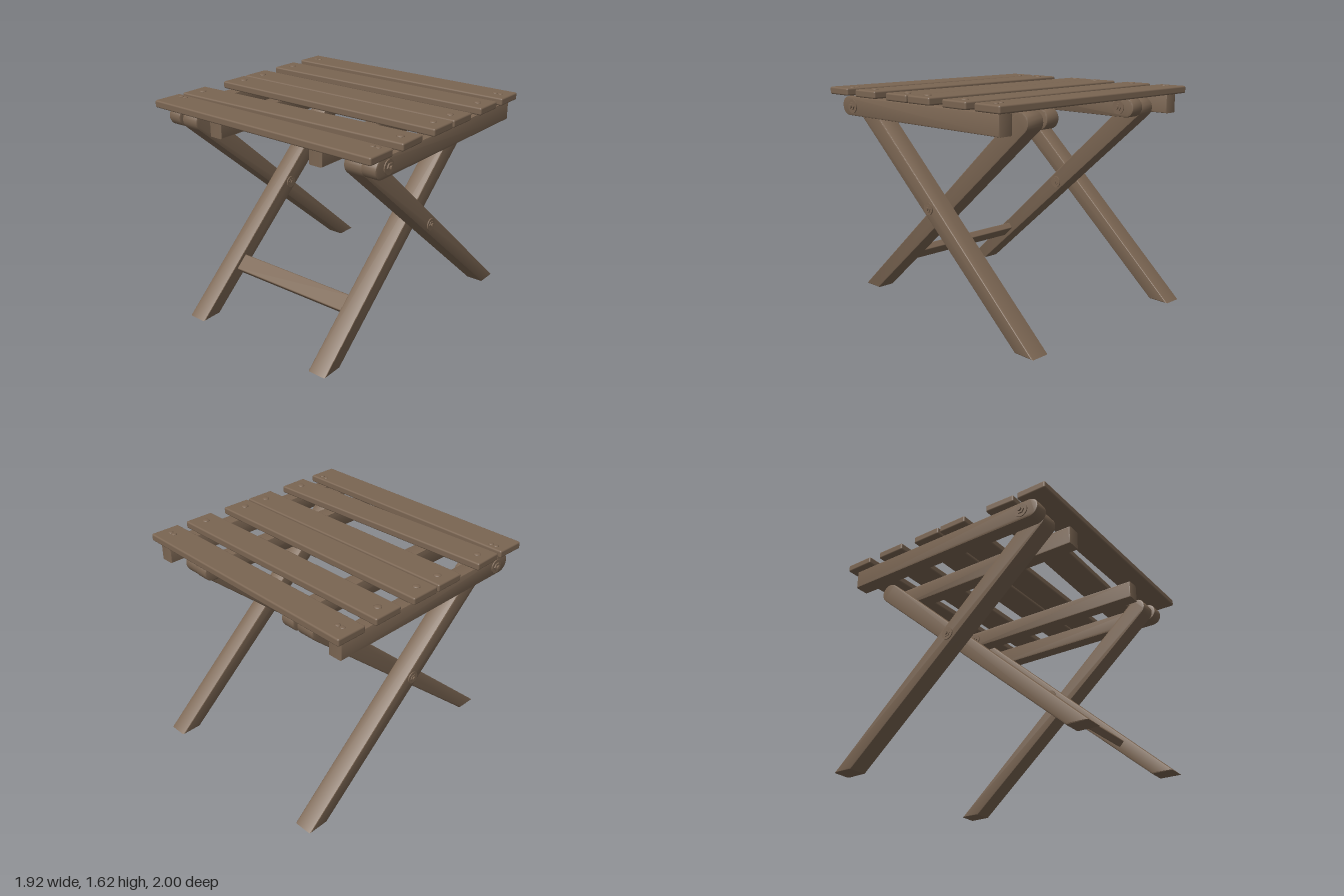
import * as THREE from 'three';
import { RoundedBoxGeometry } from 'three/addons/geometries/RoundedBoxGeometry.js';
import { toCreasedNormals } from 'three/addons/utils/BufferGeometryUtils.js';

const wood = new THREE.MeshStandardMaterial({ color: 0x7a6552 });
wood.name = 'brown wood';

function add(parent, name, geometry, x = 0, y = 0, z = 0) {
  const mesh = new THREE.Mesh(geometry, wood);
  mesh.name = name;
  mesh.position.set(x, y, z);
  parent.add(mesh);
  return mesh;
}

// Side outline in (z, y), extruded across x with softened edges, centred on x = 0
function sidePlate(points, width, flip) {
  const bevel = 0.01;
  const shape = new THREE.Shape(points.map(([z, y]) => new THREE.Vector2(z * flip, y)));
  const g = new THREE.ExtrudeGeometry(shape, {
    depth: width - 2 * bevel, bevelEnabled: true, bevelSize: bevel,
    bevelThickness: bevel, bevelOffset: -bevel, bevelSegments: 2,
  });
  g.translate(0, 0, bevel - width / 2);
  g.rotateY(-Math.PI / 2);
  return toCreasedNormals(g, 0.6);
}

function arc(cz, cy, r, from, to, n = 12) {
  return Array.from({ length: n + 1 }, (_, i) => {
    const a = from + (to - from) * i / n;
    return [cz + r * Math.cos(a), cy + r * Math.sin(a)];
  });
}

// Washer, hex nut and bolt tip pointing along dir on x
function bolt(parent, name, x, y, z, dir, r, length) {
  const group = new THREE.Group();
  group.name = name;
  [[r, 0.01, 24], [r * 0.6, length * 0.6, 6], [r * 0.28, length, 12]].forEach(([rad, h, sides], i) => {
    const g = new THREE.CylinderGeometry(rad, rad, h, sides);
    g.translate(0, h / 2, 0);
    g.rotateZ(-dir * Math.PI / 2);
    add(group, ['washer', 'nut', 'boltTip'][i], toCreasedNormals(g, 0.6));
  });
  group.position.set(x, y, z);
  parent.add(group);
}

export function createModel() {
  const model = new THREE.Group();
  model.name = 'foldingSlatTable';

  // Crossing legs and the rails they pivot on
  const tilt = Math.atan(0.885);
  const legOutline = [[-1, 0], [-0.84, 0],
    ...arc(0.735, 1.465, 0.073, tilt - Math.PI / 2, tilt + Math.PI / 2)];
  const railOutline = [[-0.825, 1.41], ...arc(0.76, 1.48, 0.07, -Math.PI / 2, Math.PI / 2), [-0.825, 1.55]];
  for (const side of [1, -1]) {
    const name = side > 0 ? 'left' : 'right';
    add(model, name + 'OuterLeg', sidePlate(legOutline, 0.145, 1), side * 0.733);
    add(model, name + 'InnerLeg', sidePlate(legOutline, 0.145, -1), side * 0.583);
    add(model, name + 'OuterRail', sidePlate(railOutline, 0.112, 1), side * 0.865);
    add(model, name + 'InnerRail', sidePlate(railOutline, 0.112, -1), side * 0.448);
    bolt(model, name + 'OuterRailBolt', side * 0.919, 1.48, 0.7, side, 0.05, 0.033);
    bolt(model, name + 'InnerRailBolt', side * 0.394, 1.48, -0.7, -side, 0.05, 0.033);
    bolt(model, name + 'OuterCrossBolt', side * 0.803, 0.815, 0, side, 0.045, 0.026);
    bolt(model, name + 'InnerCrossBolt', side * 0.512, 0.815, 0, -side, 0.045, 0.022);
  }

  // Stretcher between the inner legs, lying along their slope
  const stretcher = add(model, 'stretcher', new RoundedBoxGeometry(1.03, 0.13, 0.055, 2, 0.008), 0, 0.315, 0.565);
  stretcher.rotation.x = -(Math.PI / 2 - tilt);

  // Seat slats: centre z, turn about y, screws per end
  const slats = [
    [-0.766, -0.01, 2], [-0.455, 0, 1], [-0.105, -0.003, 1],
    [0.135, -0.003, 1], [0.52, 0.027, 1], [0.812, -0.01, 2],
  ];
  slats.forEach(([z, turn, screws], i) => {
    const slat = new THREE.Group();
    slat.name = 'slat' + (i + 1);
    slat.position.set(0, 1.583, z);
    slat.rotation.y = turn;
    model.add(slat);
    add(slat, 'board', new RoundedBoxGeometry(1.92, 0.054, 0.226, 3, 0.012));
    // Domed screw heads
    const r = screws === 2 ? 0.019 : 0.027;
    const head = new THREE.SphereGeometry(r, 16, 6, 0, Math.PI * 2, 0, Math.PI / 2);
    head.scale(1, 0.35, 1);
    const screwZ = [0, 0, 0.015, -0.015, 0, -0.067][i];
    for (const side of [1, -1]) {
      for (let k = 0; k < screws; k++) {
        const x = screws === 2 ? 0.84 + k * 0.042 : 0.865;
        add(slat, 'screwHead', head, side * x, 0.027, screwZ);
      }
    }
  });
  return model;
}
